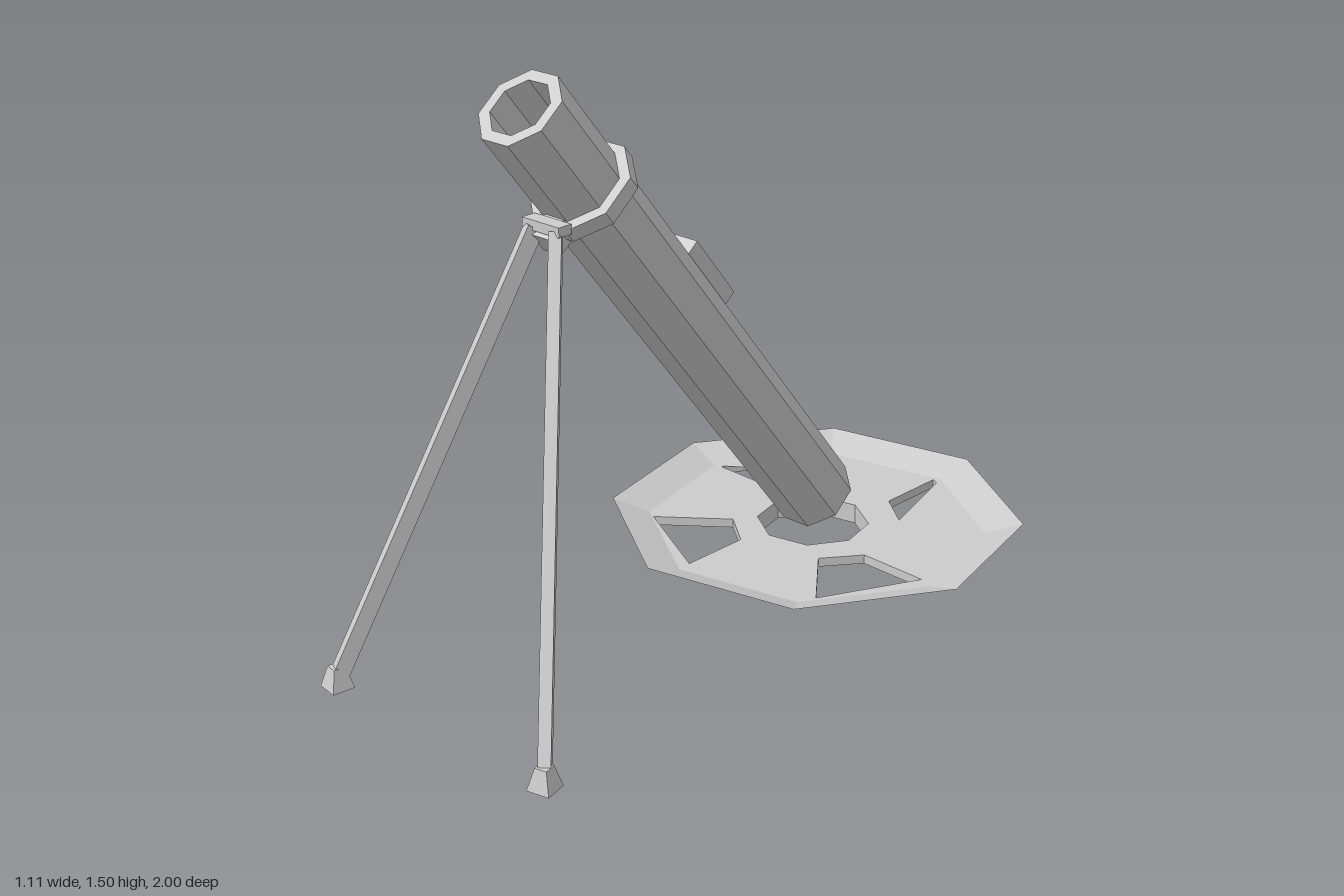
import * as THREE from 'three';

const material = new THREE.MeshStandardMaterial({ color: 0xcccccc, flatShading: true, side: THREE.DoubleSide });
const EIGHTH = Math.PI / 4;

function add(parent, name, geometry, x = 0, y = 0, z = 0) {
  const mesh = new THREE.Mesh(geometry, material);
  mesh.name = name;
  mesh.position.set(x, y, z);
  parent.add(mesh);
  return mesh;
}

// Corners of an octagon as [x, z] pairs
function octagon(radius, cx, cz, turn) {
  return Array.from({ length: 8 }, (_, i) => {
    const a = turn + i * EIGHTH;
    return [cx + radius * Math.cos(a), cz + radius * Math.sin(a)];
  });
}

// Upright strip of wall that follows a closed outline
function skirt(outline, bottom, top) {
  const positions = [];
  outline.forEach(([x, z], i) => {
    const [u, w] = outline[(i + 1) % outline.length];
    positions.push(x, bottom, z, x, top, z, u, top, w, x, bottom, z, u, top, w, u, bottom, w);
  });
  const geometry = new THREE.BufferGeometry();
  geometry.setAttribute('position', new THREE.Float32BufferAttribute(positions, 3));
  geometry.computeVertexNormals();
  return geometry;
}

function createBasePlate() {
  const plate = new THREE.Group();
  plate.name = 'basePlate';
  const turn = THREE.MathUtils.degToRad(11);
  const flatY = 0.055;
  const toPoints = (outline) => outline.map(([x, z]) => new THREE.Vector2(x, -z));

  // Flat disc with a central opening and four cut-outs
  const shape = new THREE.Shape(toPoints(octagon(0.461, 0, -0.45, turn)));
  const centre = octagon(0.153, -0.015, -0.457, turn);
  shape.holes.push(new THREE.Path(toPoints(centre)));
  add(plate, 'centreCollar', skirt(centre, 0, flatY));

  const cutout = [[0.285, 0.345], [0.15, 0.172], [0.228, 0.075], [0.424, 0.083]];
  for (let i = 0; i < 4; i++) {
    const c = Math.round(Math.cos(i * Math.PI / 2));
    const s = Math.round(Math.sin(i * Math.PI / 2));
    const outline = cutout.map(([x, z]) => [-0.008 + x * c - z * s, -0.463 + x * s + z * c]);
    shape.holes.push(new THREE.Path(toPoints(outline)));
    add(plate, 'cutoutLip', skirt(outline, 0.03, flatY));
  }
  const disc = new THREE.ShapeGeometry(shape);
  disc.rotateX(-Math.PI / 2);
  add(plate, 'disc', disc, 0, flatY, 0);

  // Raised sloping rim
  const rim = new THREE.CylinderGeometry(0.563, 0.461, 0.035, 8, 1, true, Math.PI / 2 - turn - EIGHTH);
  add(plate, 'rim', rim, 0, flatY + 0.0175, -0.45);
  return plate;
}

function createBarrel() {
  const barrel = new THREE.Group();
  barrel.name = 'barrel';
  const foot = new THREE.Vector3(-0.039, 0.12, -0.493);
  const axis = new THREE.Vector3(-0.033, 1.433, 0.568).sub(foot);
  const length = axis.length();
  barrel.position.copy(foot);
  barrel.quaternion.setFromUnitVectors(new THREE.Vector3(0, 1, 0), axis.normalize());

  // Hollow eight-sided tube
  const profile = [[0, 0], [0.109, 0], [0.109, length], [0.079, length], [0.079, 0.1], [0, 0.1]];
  const tube = new THREE.LatheGeometry(profile.map(([r, y]) => new THREE.Vector2(r, y)), 8, EIGHTH / 2);
  add(barrel, 'tube', tube);

  // Clamp ring with the hinge for the legs
  add(barrel, 'clampRing', new THREE.CylinderGeometry(0.135, 0.135, 0.04, 8, 1, false, EIGHTH / 2), 0.003, 1.39, 0);
  add(barrel, 'hinge', new THREE.BoxGeometry(0.06, 0.06, 0.06), 0.003, 1.385, 0.13);

  // Block on top of the tube
  add(barrel, 'topBlock', new THREE.BoxGeometry(0.085, 0.218, 0.07), -0.004, 0.9, -0.107);
  return barrel;
}

function createLeg(name, top, bottom) {
  const leg = new THREE.Group();
  leg.name = name;
  const middle = top.clone().add(bottom).multiplyScalar(0.5);
  const bar = add(leg, 'bar', new THREE.BoxGeometry(0.03, 0.04, top.distanceTo(bottom)), ...middle.toArray());
  bar.lookAt(top);

  // Flared foot
  const flare = new THREE.CylinderGeometry(0.022, 0.042, 0.055, 4, 1, false, EIGHTH);
  const foot = add(leg, 'foot', flare, bottom.x, 0.0625, bottom.z);
  foot.rotation.y = Math.atan2(bottom.x - top.x, bottom.z - top.z) * 0.3;
  return leg;
}

export function createModel() {
  const model = new THREE.Group();
  model.name = 'tripodTube';
  model.add(createBasePlate(), createBarrel());
  model.add(createLeg('rightLeg', new THREE.Vector3(-0.065, 1.135, 0.505), new THREE.Vector3(-0.309, 0.055, 0.962)));
  model.add(createLeg('leftLeg', new THREE.Vector3(0.005, 1.135, 0.505), new THREE.Vector3(0.37, 0.055, 0.93)));
  // Crossbar joining the leg tops
  add(model, 'crossbar', new THREE.BoxGeometry(0.12, 0.025, 0.04), -0.03, 1.143, 0.5);
  return model;
}
